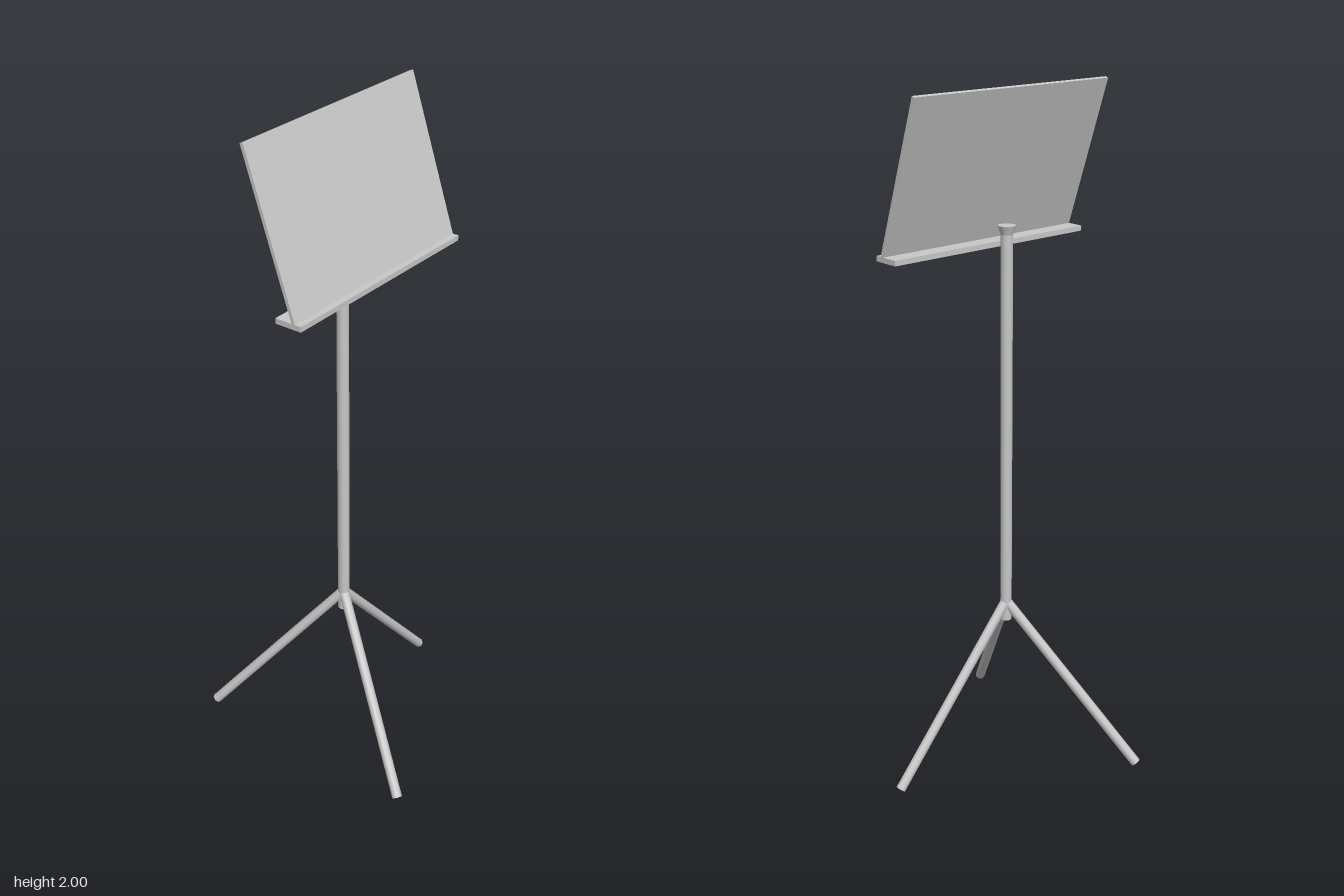
import * as THREE from 'three';

export function createModel() {
  const model = new THREE.Group();
  model.name = 'musicStand';
  const metal = new THREE.MeshStandardMaterial({ name: 'light grey metal', color: 0xc8c8c8 });
  const axisX = -0.043;

  const add = (name, geometry, parent = model) => {
    const mesh = new THREE.Mesh(geometry, metal);
    mesh.name = name;
    parent.add(mesh);
    return mesh;
  };

  // Upright pole with a small flared collar on top
  add('pole', new THREE.CylinderGeometry(0.0175, 0.0175, 1.175, 12)).position.set(axisX, 1.0175, 0);
  add('poleCollar', new THREE.CylinderGeometry(0.026, 0.0175, 0.025, 12)).position.set(axisX, 1.6125, 0);

  // Three splayed legs, 120 degrees apart
  const legs = new THREE.Group();
  legs.name = 'tripod';
  legs.position.x = axisX;
  model.add(legs);
  const up = new THREE.Vector3(0, 1, 0);
  for (let i = 0; i < 3; i++) {
    const angle = (i * Math.PI * 2) / 3;
    const top = new THREE.Vector3(0, 0.49, 0);
    const foot = new THREE.Vector3(0.414, 0.01, 0);
    const dir = top.clone().sub(foot);
    const geometry = new THREE.CylinderGeometry(0.015, 0.015, dir.length(), 8);
    geometry.rotateY(Math.PI / 8);
    geometry.applyQuaternion(new THREE.Quaternion().setFromUnitVectors(up, dir.clone().normalize()));
    const mid = top.add(foot).multiplyScalar(0.5);
    geometry.translate(mid.x, mid.y, mid.z);
    add('leg' + (i + 1), geometry, legs).rotation.y = angle;
  }

  // Leaning desk panel and the ledge that holds the sheets
  const width = 0.687;
  const panel = add('deskPanel', new THREE.BoxGeometry(width, 0.457, 0.01));
  panel.position.set(axisX + 0.001, 1.782, 0.0405);
  panel.rotation.x = -0.326;
  add('deskLedge', new THREE.BoxGeometry(width, 0.015, 0.08)).position.set(axisX + 0.001, 1.5615, 0.096);

  return model;
}
